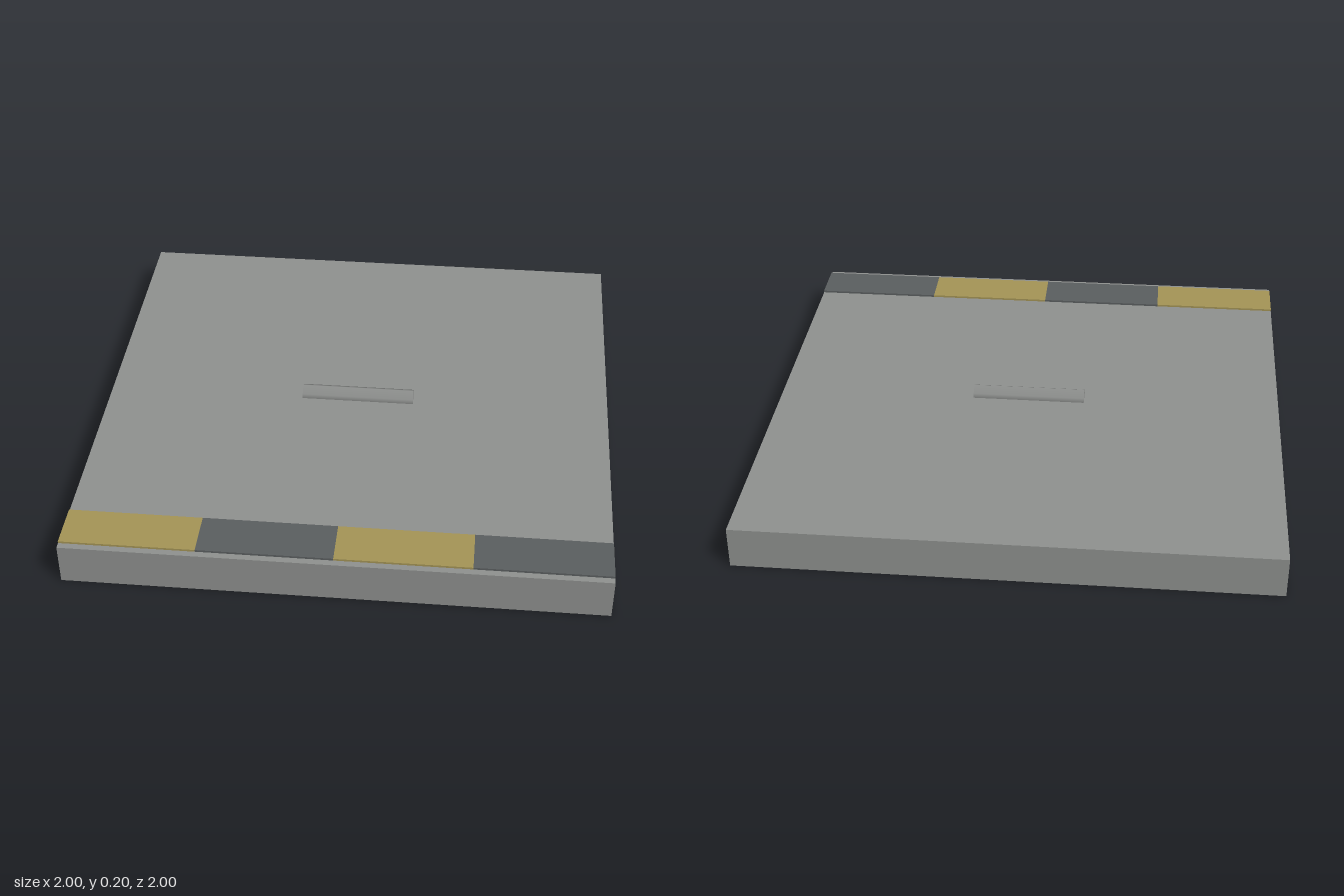
import * as THREE from 'three';

const concrete = new THREE.MeshStandardMaterial({ name: 'concrete grey', color: 0x8e908e });
const yellow = new THREE.MeshStandardMaterial({ name: 'hazard yellow', color: 0xa39355 });
const charcoal = new THREE.MeshStandardMaterial({ name: 'charcoal', color: 0x5a5e5f });

const SLAB_HEIGHT = 0.16;

function addMesh(parent, name, geometry, material, x, y, z) {
  const mesh = new THREE.Mesh(geometry, material);
  mesh.name = name;
  mesh.position.set(x, y, z);
  parent.add(mesh);
  return mesh;
}

export function createModel() {
  const model = new THREE.Group();
  model.name = 'floorPanel';

  // Square base slab
  addMesh(model, 'slab', new THREE.BoxGeometry(2, SLAB_HEIGHT, 2), concrete, 0, SLAB_HEIGHT / 2, 0);

  // Hexagonal bar half sunk into the slab, one corner pointing up
  const bar = new THREE.CylinderGeometry(0.04, 0.04, 0.445, 6, 1, false, Math.PI / 2);
  bar.rotateZ(Math.PI / 2);
  addMesh(model, 'handle', bar, concrete, 0, SLAB_HEIGHT, 0);

  // Warning strip near the front edge, in alternating colours
  const strip = new THREE.Group();
  strip.name = 'warningStrip';
  const plate = new THREE.BoxGeometry(0.5, 0.008, 0.175);
  for (let i = 0; i < 4; i++) {
    const material = i % 2 ? charcoal : yellow;
    addMesh(strip, `stripPlate${i + 1}`, plate, material, -0.75 + i * 0.5, SLAB_HEIGHT + 0.004, 0.8875);
  }
  model.add(strip);

  return model;
}
